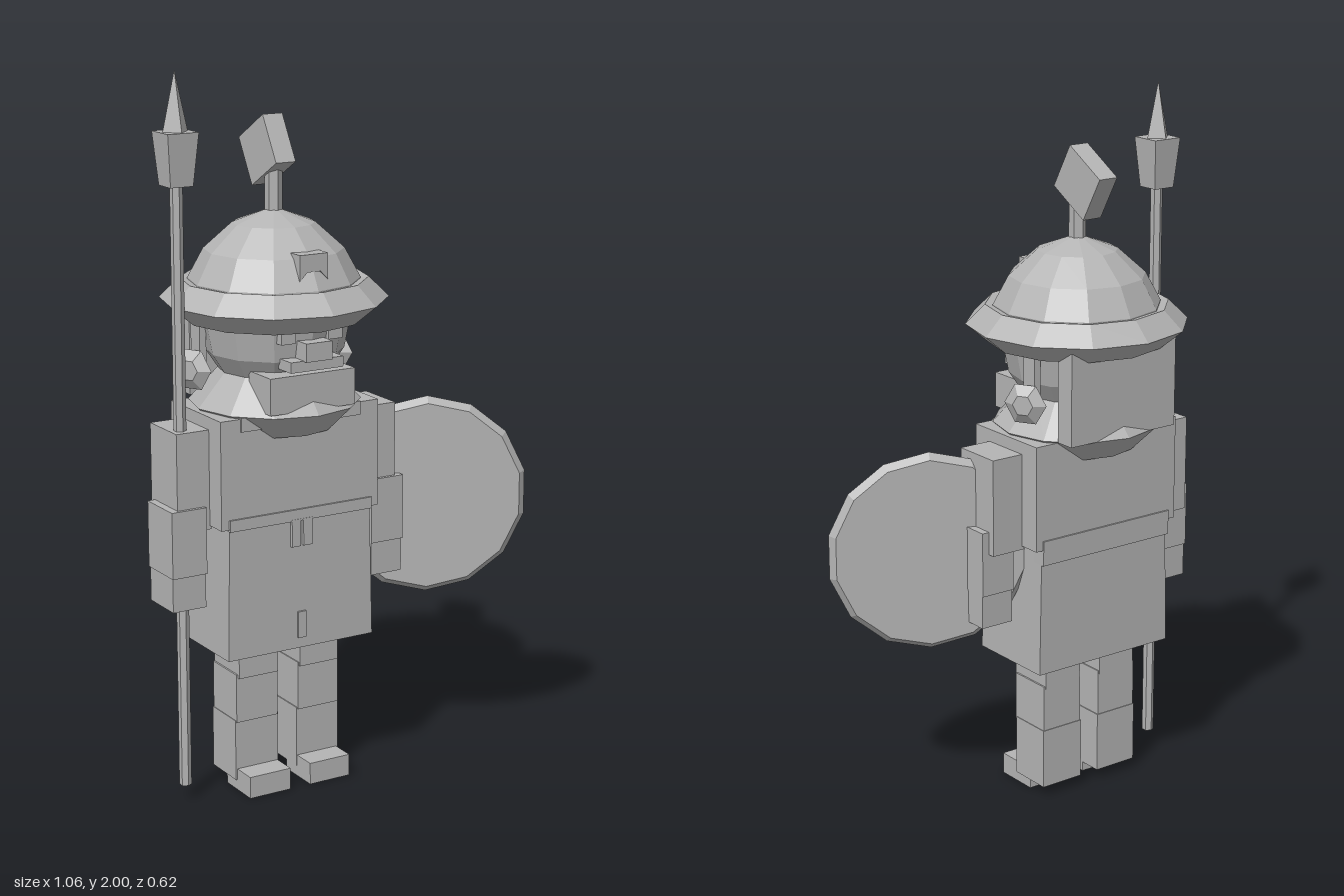
import * as THREE from 'three';

const stone = new THREE.MeshStandardMaterial({ color: 0xb4b4b4 });
stone.name = 'plain grey';
stone.flatShading = true;

export function createModel() {
  const model = new THREE.Group();
  model.name = 'spearGuard';
  const figure = new THREE.Group();
  figure.name = 'figure';
  figure.position.x = -0.16;
  model.add(figure);

  const add = (name, geo, x = 0, y = 0, z = 0, parent = figure) => {
    const m = new THREE.Mesh(geo, stone);
    m.name = name;
    m.position.set(x, y, z);
    parent.add(m);
    return m;
  };
  // Box from its limits on each axis
  const box = (name, x0, x1, y0, y1, z0, z1) =>
    add(name, new THREE.BoxGeometry(x1 - x0, y1 - y0, z1 - z0), (x0 + x1) / 2, (y0 + y1) / 2, (z0 + z1) / 2);
  const lathe = (pts, sides) =>
    new THREE.LatheGeometry(pts.map(([r, y]) => new THREE.Vector2(r, y)), sides);
  // Box whose sides slope from bottom to top
  const taper = (w0, w1, h, d0, d1) => {
    const g = new THREE.BoxGeometry(1, h, 1);
    const p = g.attributes.position;
    for (let i = 0; i < p.count; i++) {
      const top = p.getY(i) > 0;
      p.setX(i, p.getX(i) * (top ? w1 : w0));
      p.setZ(i, p.getZ(i) * (top ? d1 : d0));
    }
    g.computeVertexNormals();
    return g;
  };

  // Legs, arms and ear discs, one of each per side
  for (const s of [-1, 1]) {
    const side = s < 0 ? 'right' : 'left';
    const pair = (name, a, b, ...rest) => box(side + name, Math.min(s * a, s * b), Math.max(s * a, s * b), ...rest);
    pair('Thigh', 0.036, 0.158, 0.33, 0.43, -0.07, 0.072);
    pair('Knee', 0.033, 0.163, 0.2, 0.34, -0.068, 0.064);
    pair('Shin', 0.03, 0.165, 0.03, 0.205, -0.07, 0.06);
    pair('Foot', 0.032, 0.16, 0, 0.062, 0, 0.132);
    pair('UpperArm', 0.24, 0.342, 0.775, 1.05, -0.075, 0.075);
    pair('Forearm', 0.26, 0.364, 0.655, 0.84, -0.055, 0.085);
    pair('Hand', 0.262, 0.362, 0.56, 0.66, -0.05, 0.08);
    pair('CheekStrap', 0.19, 0.21, 1.17, 1.36, -0.085, -0.035);
    const ear = add(side + 'EarDisc', lathe([[0, -0.02], [0.03, -0.02], [0.062, 0], [0.03, 0.02], [0, 0.02]], 6), s * 0.222, 1.185, -0.06);
    ear.rotation.z = Math.PI / 2;
    ear.rotation.x = Math.PI / 6;
    ear.rotation.order = 'ZYX';
    // Eyes
    pair('Eye', 0.05, 0.094, 1.285, 1.32, 0.16, 0.2);
  }

  // Torso, belt and tunic skirt
  box('torso', -0.245, 0.245, 0.785, 1.085, -0.14, 0.14);
  box('chestTrim', -0.185, 0.185, 1.05, 1.088, 0.13, 0.145);
  add('skirt', taper(0.456, 0.44, 0.37, 0.275, 0.27), 0, 0.6, 0.003);
  box('belt', -0.222, 0.222, 0.78, 0.812, -0.145, 0.146);
  box('backBelt', -0.222, 0.222, 0.74, 0.79, -0.142, -0.1);
  for (const x of [-0.018, 0.018]) box('beltTail', x - 0.014, x + 0.014, 0.708, 0.785, 0.13, 0.147);
  box('skirtClasp', -0.013, 0.013, 0.445, 0.52, 0.135, 0.146);

  // Neck scarf
  add('collar', lathe([[0, 1.02], [0.165, 1.02], [0.235, 1.09], [0.14, 1.195], [0, 1.195]], 12));

  // Head and face
  add('head', new THREE.SphereGeometry(0.205, 12, 8), 0, 1.31, 0);
  box('nose', -0.04, 0.04, 1.24, 1.29, 0.17, 0.238);
  box('mouth', -0.08, 0.08, 1.213, 1.242, 0.16, 0.226);
  box('beard', -0.13, 0.13, 1.1, 1.2, 0.09, 0.205);
  box('neckGuard', -0.18, 0.18, 1.09, 1.35, -0.21, -0.15);

  // Helmet: dome, flared brim, badge and plume
  add('helmetDome', lathe([[0.235, 1.36], [0.233, 1.425], [0.19, 1.505], [0.112, 1.575], [0, 1.617]], 12));
  add('helmetBrim', lathe([[0.2, 1.36], [0.245, 1.318], [0.31, 1.372], [0.255, 1.426], [0.225, 1.42]], 12));
  const badge = new THREE.Shape([[-0.043, 0.035], [-0.043, -0.035], [-0.02, -0.012], [0.02, -0.012], [0.043, -0.035], [0.043, 0.035]]
    .map(([x, y]) => new THREE.Vector2(x, y)));
  add('helmetBadge', new THREE.ExtrudeGeometry(badge, { depth: 0.07, bevelEnabled: false }), 0, 1.485, 0.14);
  add('plumePost', new THREE.CylinderGeometry(0.024, 0.024, 0.17, 6), 0, 1.67, 0);
  add('plume', new THREE.BoxGeometry(0.06, 0.14, 0.15), 0, 1.765, -0.033).rotation.x = -Math.PI / 6;

  // Spear in the right hand
  const spear = new THREE.Group();
  spear.name = 'spear';
  spear.position.set(-0.473, 0, 0.041);
  model.add(spear);
  add('spearShaft', new THREE.CylinderGeometry(0.017, 0.017, 1.68, 6), 0, 0.885, 0, spear);
  add('spearSocket', taper(0.066, 0.09, 0.14, 0.066, 0.09), 0, 1.772, 0, spear);
  add('spearTip', new THREE.ConeGeometry(0.037, 0.16, 4), 0, 1.92, 0, spear);

  // Round shield with bevelled rim, turned away from the left arm
  const shield = new THREE.Group();
  shield.name = 'shield';
  shield.position.set(0.286, 0.77, 0.08);
  shield.rotation.y = -0.45;
  model.add(shield);
  const disc = lathe([[0, -0.021], [0.268, -0.021], [0.286, 0.0], [0.268, 0.021], [0, 0.021]], 14);
  add('shieldDisc', disc, 0, 0, 0, shield).rotation.x = Math.PI / 2;

  return model;
}
